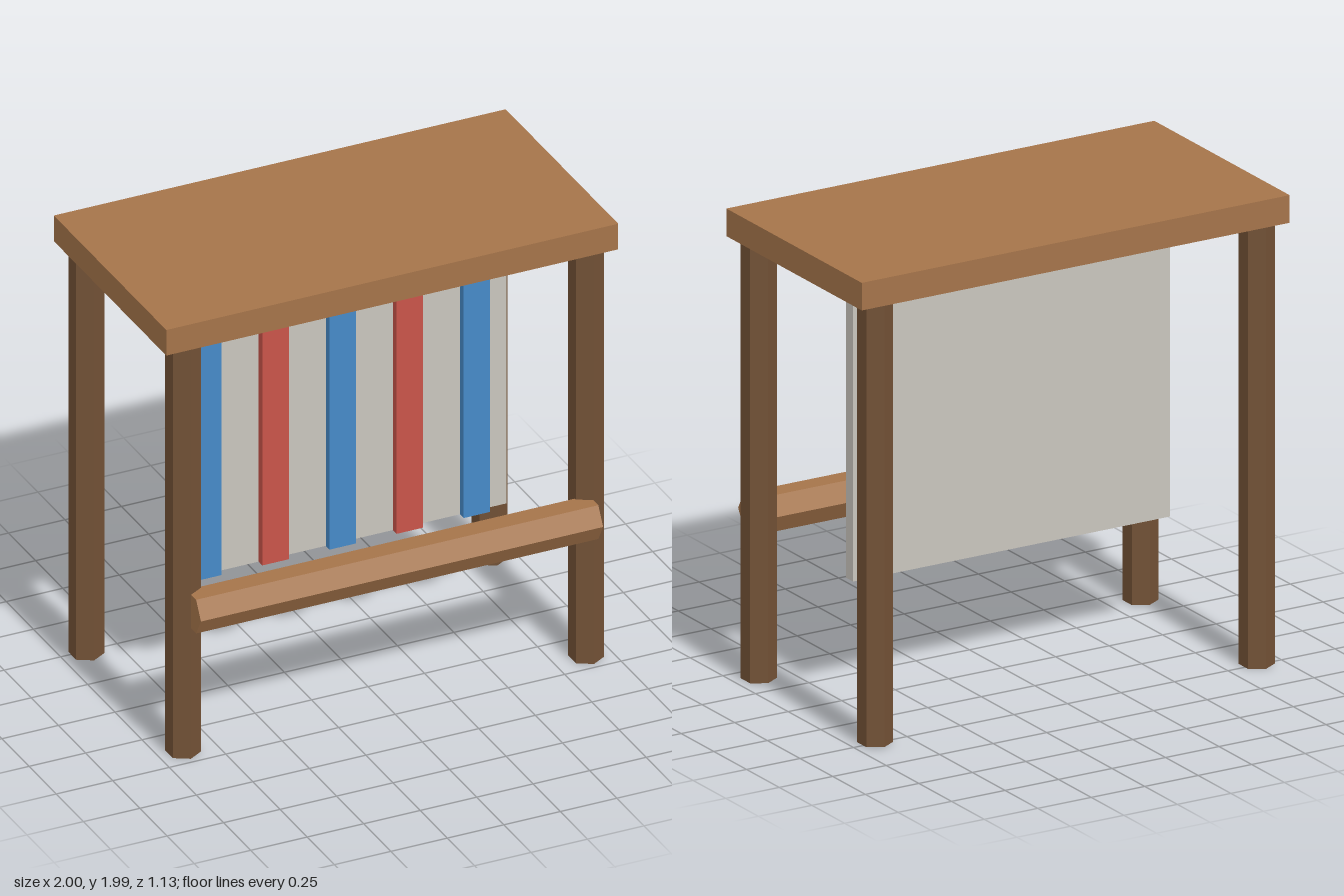
import * as THREE from 'three';

const mat = (name, color) => {
  const m = new THREE.MeshStandardMaterial({ color });
  m.name = name;
  return m;
};

export function createModel() {
  const root = new THREE.Group();
  root.name = 'stall';
  const wood = mat('light wood', 0xa5744a);
  const darkWood = mat('dark wood', 0x735236);
  const cloth = mat('grey cloth', 0xc9c5bd);
  const blue = mat('blue stripe', 0x468ac8);
  const red = mat('red stripe', 0xc95449);

  const add = (name, geometry, material, x, y, z) => {
    const mesh = new THREE.Mesh(geometry, material);
    mesh.name = name;
    mesh.position.set(x, y, z);
    root.add(mesh);
    return mesh;
  };
  // Six-sided bar with flat faces, a corner pointing to +z
  const hexBar = (radius, length) => {
    const g = new THREE.CylinderGeometry(radius, radius, length, 6).toNonIndexed();
    g.computeVertexNormals();
    return g;
  };

  // Flat roof slab
  add('roof', new THREE.BoxGeometry(2, 0.117, 1.036), wood, 0, 1.928, -0.045);

  // Four hexagonal posts
  const postGeometry = hexBar(0.072, 1.87);
  for (const side of [-1, 1]) {
    const label = side > 0 ? 'left' : 'right';
    add(label + 'FrontPost', postGeometry, darkWood, side * 0.892, 0.935, 0.402);
    add(label + 'BackPost', postGeometry, darkWood, side * 0.892, 0.935, -0.488);
  }

  // Hexagonal rail across the front posts
  add('frontRail', hexBar(0.089, 1.78), wood, 0, 0.672, 0.474).rotation.z = Math.PI / 2;

  // Hanging panel with raised stripes
  add('panel', new THREE.BoxGeometry(1.482, 1.182, 0.055), cloth, -0.001, 1.115, -0.043);
  const stripeGeometry = new THREE.BoxGeometry(0.117, 1.182, 0.035);
  for (let i = -2; i <= 2; i++) {
    add('stripe', stripeGeometry, i % 2 ? red : blue, i * 0.297 - 0.001, 1.115, 0.0015);
  }
  return root;
}
